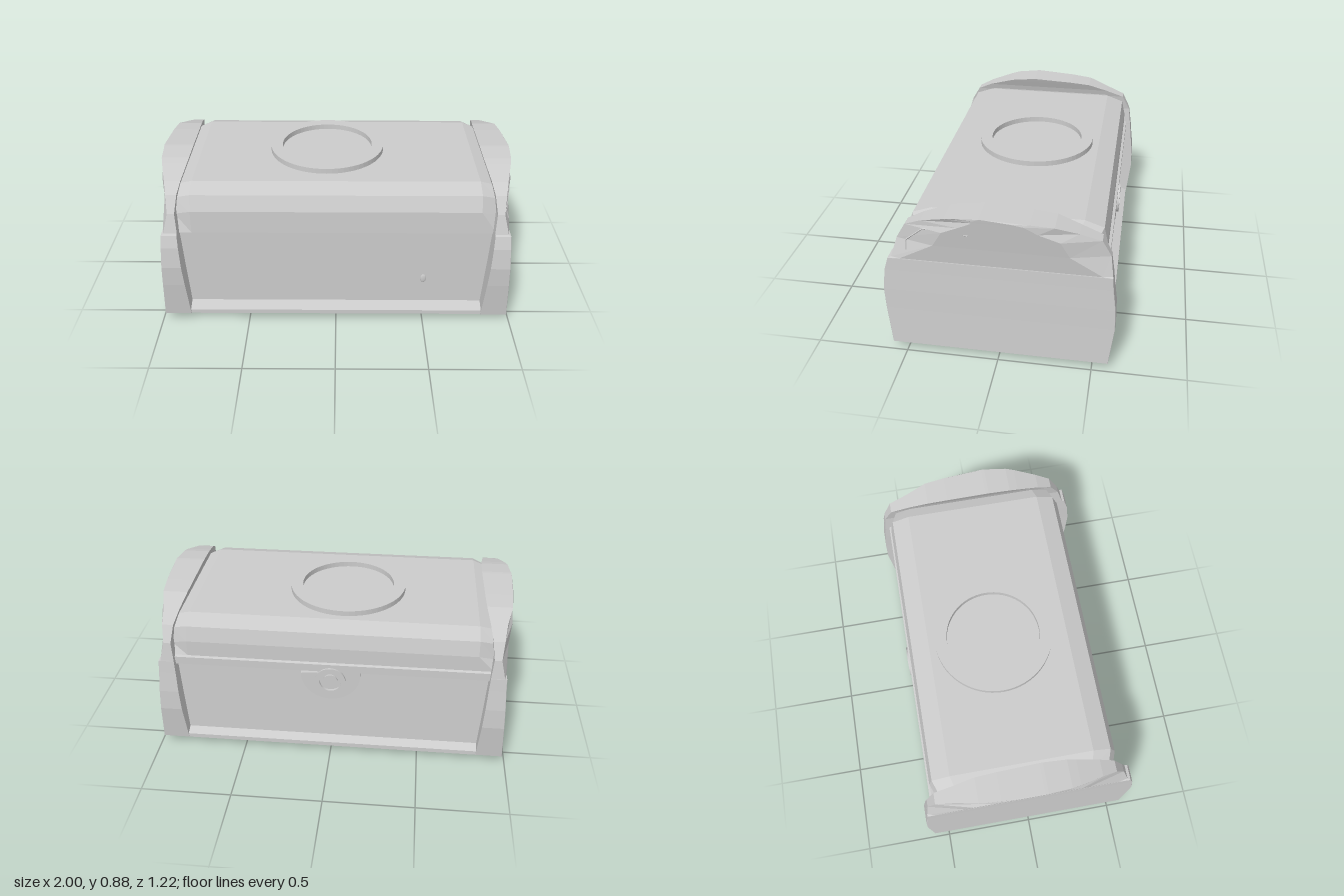
import * as THREE from 'three';

const grey = new THREE.MeshStandardMaterial({ color: 0xcccccc, flatShading: true });
const smooth = new THREE.MeshStandardMaterial({ color: 0xcccccc });

// Closed faceted solid through equal-length cross-sections
function loft(sections) {
  const pos = [];
  const tri = (a, b, c) => pos.push(...a, ...b, ...c);
  const n = sections[0].length;
  for (let i = 0; i < sections.length - 1; i++) {
    for (let j = 0; j < n; j++) {
      const k = (j + 1) % n, s = sections[i], t = sections[i + 1];
      tri(s[j], s[k], t[k]);
      tri(s[j], t[k], t[j]);
    }
  }
  // ends, triangulated so that concave outlines also close properly
  for (const [s, wantFirst] of [[sections[0], true], [sections[sections.length - 1], false]]) {
    const flatX = s.every((p) => Math.abs(p[0] - s[0][0]) < 1e-6);
    const flat = s.map((p) => (flatX ? new THREE.Vector2(-p[2], p[1]) : new THREE.Vector2(p[0], -p[2])));
    for (const [a, b, c] of THREE.ShapeUtils.triangulateShape(flat, [])) {
      if (wantFirst) tri(s[a], s[c], s[b]);
      else tri(s[a], s[b], s[c]);
    }
  }
  const g = new THREE.BufferGeometry();
  g.setAttribute('position', new THREE.Float32BufferAttribute(pos, 3));
  g.computeVertexNormals();
  return g;
}

// Flat washer with its axis along +z, or a disc when the hole is 0
function washer(outer, inner, depth) {
  const s = new THREE.Shape().absarc(0, 0, outer, 0, Math.PI * 2);
  if (inner > 0) s.holes.push(new THREE.Path().absarc(0, 0, inner, 0, Math.PI * 2, true));
  return new THREE.ExtrudeGeometry(s, { depth, bevelEnabled: false, curveSegments: 32 });
}

export function createModel() {
  const model = new THREE.Group();
  const add = (name, geo, mat = grey, parent = model) => {
    const m = new THREE.Mesh(geo, mat);
    m.name = name;
    parent.add(m);
    return m;
  };

  // Base box with a ledge along the foot, profile in z, y
  const base = [[0.575, 0.04], [-0.585, 0.04], [-0.585, 0.065], [-0.535, 0.085], [-0.52, 0.56],
    [0.5, 0.56], [0.505, 0.085], [0.575, 0.065]];
  add('baseBox', loft([-0.9, 0.9].map((x) => base.map(([z, y]) => [x, y, z]))));

  // Lid: flat top, two bevels at each long edge, a lip along the back; its ends taper
  const lid = [[0.51, 0.55], [-0.515, 0.55], [-0.555, 0.54], [-0.555, 0.585], [-0.54, 0.59], [-0.54, 0.68],
    [-0.52, 0.765], [-0.42, 0.8], [0.37, 0.8], [0.47, 0.765], [0.505, 0.68]];
  add('lid', loft([[-0.89, 1], [-0.8, 0], [0.8, 0], [0.89, 1]].map(([x, end]) =>
    lid.map(([z, y]) => (y > 0.65 ? [x, y - 0.03 * end, z * (1 - 0.06 * end)] : [x, y, z])))));

  // End caps: [y, front z, back z, inner x, rim x, outer x, depth over which the side swells]
  const rows = [
    [0.04, 0.58, -0.585, 0.835, 0.983, 0.985, 0.002],
    [0.26, 0.603, -0.61, 0.85, 0.971, 0.973, 0.002],
    [0.38, 0.61, -0.606, 0.858, 0.965, 0.967, 0.002],
    [0.5, 0.597, -0.59, 0.865, 0.958, 0.96, 0.002],
    [0.57, 0.576, -0.583, 0.87, 0.955, 0.957, 0.002],
    [0.574, 0.56, -0.582, 0.87, 0.945, 0.956, 0.05],
    [0.68, 0.528, -0.567, 0.88, 0.92, 0.97, 0.2],
    [0.77, 0.475, -0.52, 0.868, 0.93, 0.984, 0.2],
    [0.81, 0.39, -0.41, 0.857, 0.948, 0.99, 0.2],
    [0.85, 0.26, -0.29, 0.84, 0.98, 0.996, 0.15],
    [0.862, 0.21, -0.17, 0.835, 0.99, 0.998, 0.1],
    [0.875, 0.08, 0.06, 0.83, 0.998, 1, 0.002],
  ];
  for (const side of [1, -1]) {
    const sections = rows.map(([y, f, b, xi, xr, xo, c]) => {
      const p = [[xi, f], [xr, f], [xo, f - c], [xo, b + c], [xr, b], [xi, b]].map(([x, z]) => [side * x, y, z]);
      return side > 0 ? p : p.reverse();
    });
    add(side > 0 ? 'leftEndCap' : 'rightEndCap', loft(sections));
  }

  // Thin raised line on one end cap
  const line = new THREE.CurvePath();
  const pts = [[0.952, 0.63, 0.475], [0.934, 0.68, 0.475], [0.957, 0.77, 0.375], [0.983, 0.765, 0.14]]
    .map((p) => new THREE.Vector3(...p));
  for (let i = 0; i < 3; i++) line.add(new THREE.LineCurve3(pts[i], pts[i + 1]));
  add('capTrim', new THREE.TubeGeometry(line, 24, 0.004, 4));

  // Ring on the lid
  const ring = add('lidRing', washer(0.333, 0.265, 0.035), smooth);
  ring.rotation.x = -Math.PI / 2;
  ring.position.set(-0.055, 0.795, -0.05);

  // Lock on the back: hanging half-round plate, ring and centre knob
  const lock = new THREE.Group();
  lock.name = 'lock';
  lock.position.set(0, 0.52, -0.515);
  lock.rotation.y = Math.PI;
  model.add(lock);
  const plate = new THREE.Shape();
  plate.moveTo(-0.165, 0.03);
  plate.absarc(0, 0, 0.165, Math.PI, Math.PI * 2);
  plate.lineTo(0.165, 0.03);
  add('lockPlate', new THREE.ExtrudeGeometry(plate, { depth: 0.035, bevelEnabled: false, curveSegments: 24 }), smooth, lock);
  add('lockRing', washer(0.085, 0.06, 0.05), smooth, lock).position.y = -0.04;
  add('lockKnob', washer(0.04, 0, 0.045), smooth, lock).position.y = -0.04;

  // Small stud low on the front
  const stud = add('frontStud', new THREE.SphereGeometry(0.018, 10, 8), smooth);
  stud.scale.set(1, 1.5, 0.3);
  stud.position.set(0.5, 0.24, 0.503);

  // Foot slab with cut corners
  const slab = [[-0.92, 0.52], [0.92, 0.52], [0.95, 0.49], [0.95, -0.51], [0.92, -0.545], [-0.92, -0.545],
    [-0.95, -0.51], [-0.95, 0.49]];
  add('footSlab', loft([0.015, 0.045].map((y) => slab.map(([x, z]) => [x, y, z]))));

  // Round feet under the slab: thin disc with a raised rim
  for (const [x, z, low] of [[0.375, 0.17, 0], [0.135, -0.335, 0], [0.19, -0.245, 0.007]]) {
    const foot = new THREE.Group();
    foot.name = 'roundFoot';
    foot.position.set(x, 0.02, z);
    foot.rotation.x = Math.PI / 2;
    model.add(foot);
    add('footRim', washer(0.165, 0.14, 0.02 - low), smooth, foot);
    add('footDisc', washer(0.125, 0, 0.012 - low / 2), smooth, foot);
  }
  return model;
}
